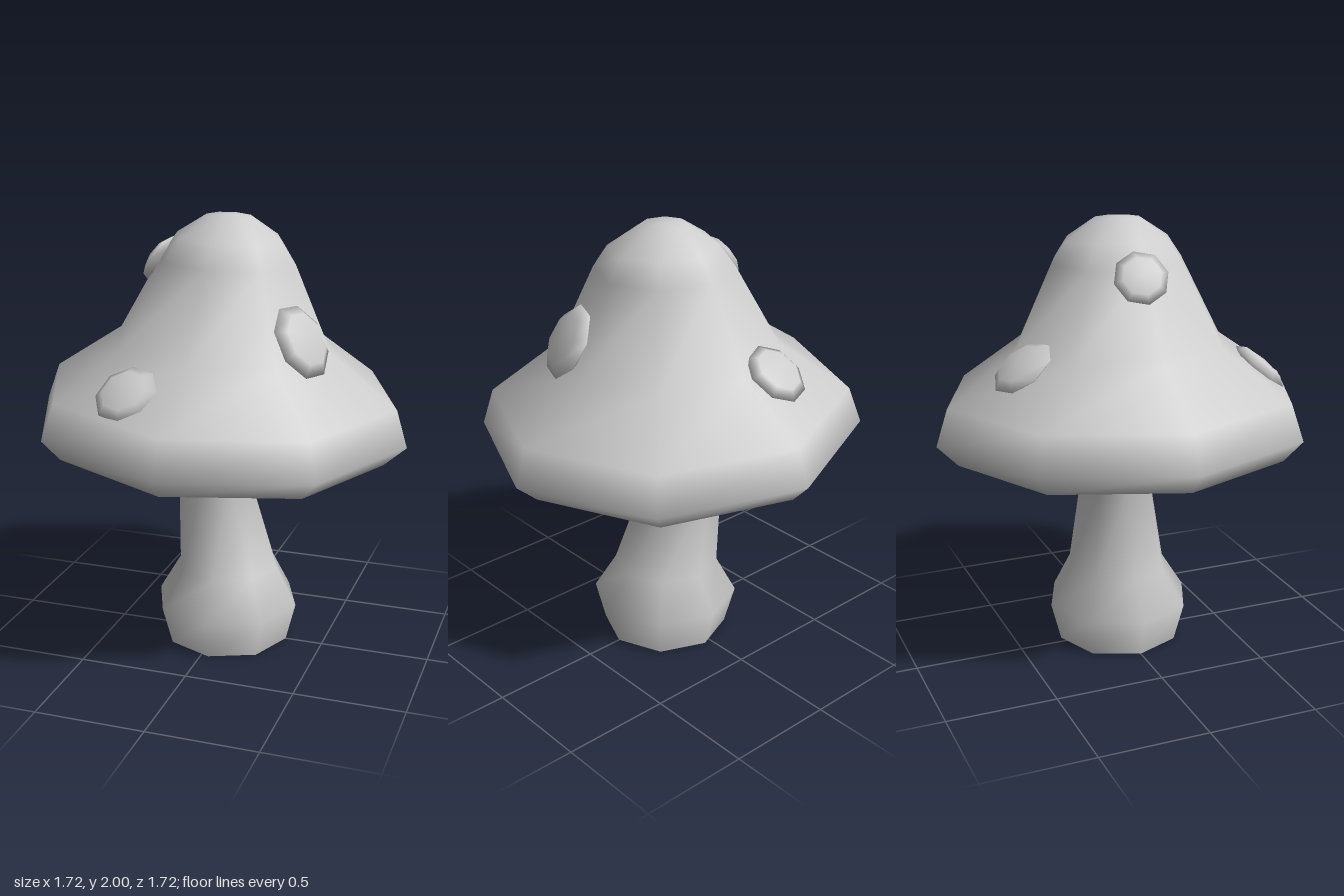
import * as THREE from 'three';

const SIDES = 8;

// Smooth eight-sided skin through rings [y, centreX, centreZ, radius, tilt]; tilt is the rise of y per unit x.
function loft(rings, tip) {
  const pos = [], idx = [];
  for (const [y, cx, cz, r, tilt] of rings) {
    for (let i = 0; i < SIDES; i++) {
      const a = (i / SIDES) * Math.PI * 2;
      const dx = Math.cos(a) * r;
      pos.push(cx + dx, y + dx * tilt, cz + Math.sin(a) * r);
    }
  }
  for (let k = 0; k < rings.length - 1; k++) {
    for (let i = 0; i < SIDES; i++) {
      const j = (i + 1) % SIDES;
      const a = k * SIDES + i, b = k * SIDES + j;
      idx.push(a, a + SIDES, b, b, a + SIDES, b + SIDES);
    }
  }
  // Close the last ring with a fan
  if (tip) {
    const base = (rings.length - 1) * SIDES, t = pos.length / 3;
    pos.push(...tip);
    for (let i = 0; i < SIDES; i++) idx.push(base + i, t, base + ((i + 1) % SIDES));
  }
  const g = new THREE.BufferGeometry();
  g.setAttribute('position', new THREE.Float32BufferAttribute(pos, 3));
  g.setIndex(idx);
  g.computeVertexNormals();
  return g;
}

export function createModel() {
  const group = new THREE.Group();
  const grey = new THREE.MeshStandardMaterial({ color: 0xcccccc });
  const add = (name, geometry) => {
    const mesh = new THREE.Mesh(geometry, grey);
    mesh.name = name;
    group.add(mesh);
    return mesh;
  };

  // Bent stalk, flaring out under the cap
  add('stalk', loft([
    [0, 0.035, 0, 0.29, 0],
    [0.18, 0.033, 0, 0.337, 0],
    [0.35, 0.035, -0.01, 0.24, 0],
    [0.8, -0.05, -0.047, 0.172, -0.08],
    [1.07, -0.01, -0.045, 0.3, -0.045],
  ]));

  // Flat base of the stalk
  const base = add('stalkBase', new THREE.CircleGeometry(0.29, SIDES));
  base.rotation.x = Math.PI / 2;
  base.position.x = 0.035;

  // Tilted bell cap: hollow underside, rim, shoulder, dome
  add('cap', loft([
    [1.07, -0.01, -0.045, 0.3, -0.045],
    [0.955, -0.01, 0, 0.77, -0.046],
    [1.05, 0, 0, 0.862, -0.046],
    [1.215, 0.005, 0, 0.807, -0.045],
    [1.435, 0.015, 0, 0.495, -0.05],
    [1.803, 0.035, 0, 0.308, -0.03],
    [1.9, 0.04, 0, 0.242, -0.04],
    [1.99, 0.04, 0, 0.105, -0.04],
  ], [0.04, 1.998, 0]));

  // Low domed spots: name, centre, outward direction, radius
  const spots = [
    ['frontSpot', [-0.22, 1.32, 0.59], [-0.15, 0.76, 0.63], 0.143],
    ['leftSpot', [0.425, 1.5, 0.185], [0.82, 0.5, 0.27], 0.172],
    ['rightSpot', [-0.285, 1.785, -0.02], [-0.84, 0.52, -0.15], 0.122],
    ['backSpot', [-0.15, 1.41, -0.51], [-0.12, 0.79, -0.6], 0.15],
  ];
  const up = new THREE.Vector3(0, 1, 0);
  for (const [name, centre, dir, r] of spots) {
    const spot = add(name, new THREE.SphereGeometry(1, SIDES, 4));
    spot.scale.set(r, r * 0.27, r);
    spot.position.set(...centre);
    spot.quaternion.setFromUnitVectors(up, new THREE.Vector3(...dir).normalize());
  }
  return group;
}
